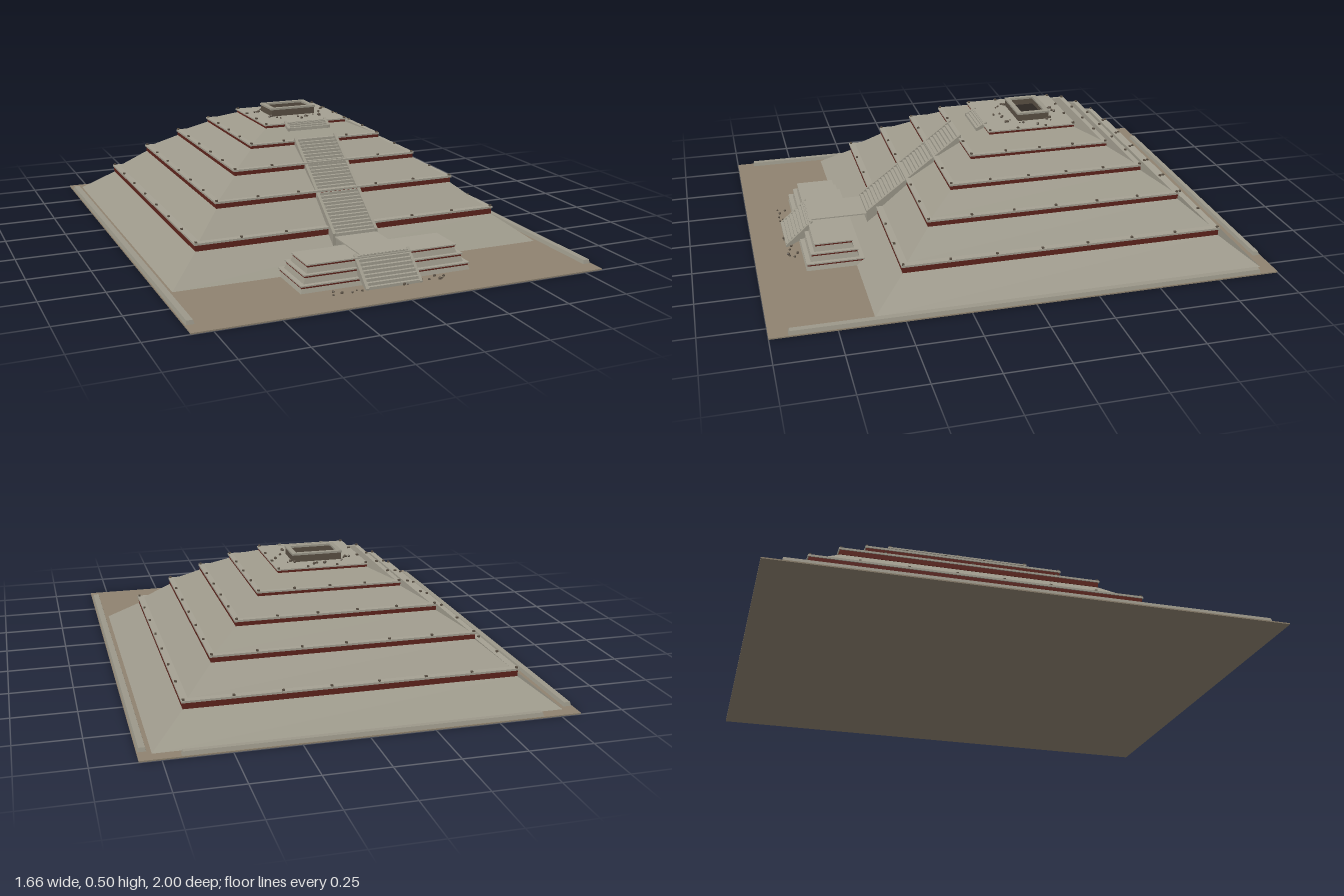
import * as THREE from 'three';

const mat = (color) => new THREE.MeshStandardMaterial({ color, flatShading: true });
const stone = mat(0x9c988a);
const pale = mat(0xa5a193);
const sand = mat(0x8f8370);
const red = mat(0x5e241c);
const dark = mat(0x2c2622);
const brown = mat(0x5a5044);

const CZ = -0.172; // centre of the pyramid along z

function add(parent, name, geometry, material) {
  const mesh = new THREE.Mesh(geometry, material);
  mesh.name = name;
  parent.add(mesh);
  return mesh;
}

// Box given by its lower and upper height
function slab(parent, name, w, d, y0, y1, x, z, material) {
  const mesh = add(parent, name, new THREE.BoxGeometry(w, y1 - y0, d), material);
  mesh.position.set(x, (y0 + y1) / 2, z);
  return mesh;
}

// Block with sloping sides; half sizes at the bottom and inset at the top
function frustum(parent, name, hx, hz, inset, y0, y1, x, z, material) {
  const mesh = slab(parent, name, hx * 2, hz * 2, y0, y1, x, z, material);
  const p = mesh.geometry.attributes.position;
  for (let i = 0; i < p.count; i++) {
    if (p.getY(i) < 0) continue;
    p.setX(i, p.getX(i) - Math.sign(p.getX(i)) * inset);
    p.setZ(i, p.getZ(i) - Math.sign(p.getZ(i)) * inset);
  }
  mesh.geometry.computeVertexNormals();
  return mesh;
}

// Extrudes a (z, y) outline across x
function acrossX(parent, name, points, width, x, material) {
  const shape = new THREE.Shape(points.map(([z, y]) => new THREE.Vector2(z, y)));
  const geometry = new THREE.ExtrudeGeometry(shape, { depth: width, bevelEnabled: false });
  geometry.translate(0, 0, -width / 2).rotateY(-Math.PI / 2);
  const mesh = add(parent, name, geometry, material);
  mesh.position.x = x;
  return mesh;
}

// Flight of steps rising towards -z, with a sloping rail on each side
function stairFlight(name, halfWidth, z0, y0, z1, y1, steps, depth, rail) {
  const group = new THREE.Group();
  group.name = name;
  const points = [[z0, y0]];
  for (let i = 0; i < steps; i++) {
    const y = y0 + ((y1 - y0) * (i + 1)) / steps;
    points.push([z0 + ((z1 - z0) * i) / steps, y], [z0 + ((z1 - z0) * (i + 1)) / steps, y]);
  }
  points.push([z1, y1 - depth], [z0, Math.max(y0 - depth, 0)]);
  acrossX(group, 'steps', points, halfWidth * 2, 0, pale);
  const side = [[z0, Math.max(y0 - depth, 0)], [z0, y0 + rail], [z1, y1 + rail], [z1, y1 - depth]];
  for (const s of [-1, 1]) acrossX(group, 'stairRail', side, 0.012, s * (halfWidth + 0.006), stone);
  return group;
}

export function createModel() {
  const model = new THREE.Group();
  model.name = 'steppedPyramid';

  slab(model, 'ground', 1.66, 2, 0, 0.005, 0, 0, sand);

  // Low boundary walls
  for (const s of [-1, 1]) frustum(model, 'sideWall', 0.016, 0.928, 0.004, 0.004, 0.02, s * 0.81, 0, stone);
  frustum(model, 'backWall', 0.68, 0.014, 0.004, 0.004, 0.02, 0, -0.982, stone);

  // Pyramid tiers: bottom half size, ledge half size, bottom, red band, ledge top
  const tiers = [
    [0.78, 0.652, 0.004, 0.103, 0.135],
    [0.625, 0.524, 0.135, 0.222, 0.25],
    [0.503, 0.405, 0.25, 0.313, 0.338],
    [0.383, 0.294, 0.338, 0.389, 0.408],
    [0.275, 0.188, 0.408, 0.445, 0.46],
  ];
  tiers.forEach(([low, ledge, y0, band, y1], i) => {
    const tier = new THREE.Group();
    tier.name = `tier${i + 1}`;
    model.add(tier);
    const lip = Math.min(0.008, (y1 - band) * 0.35);
    frustum(tier, 'slopingWall', low, low, low - ledge + 0.006, y0, band, 0, CZ, stone);
    slab(tier, 'redBand', ledge * 2 - 0.008, ledge * 2 - 0.008, band, y1 - lip, 0, CZ, red);
    slab(tier, 'ledge', ledge * 2, ledge * 2, y1 - lip, y1, 0, CZ, pale);
    // Small studs along the edge of the ledge
    const n = 7 - i;
    for (let k = 0; k < n; k++) {
      const t = (k / n) * 2 - 1;
      const r = ledge - 0.008;
      for (const [x, z] of [[t * r, -r], [r, t * r], [-t * r, r], [-r, -t * r]]) {
        if (z > 0 && Math.abs(x) < 0.11) continue;
        slab(tier, 'stud', 0.009, 0.009, y1, y1 + 0.006, x, CZ + z, brown);
      }
    }
  });

  // Stepped platform at the foot of the stairs
  const platform = new THREE.Group();
  platform.name = 'frontPlatform';
  model.add(platform);
  for (const [hx, hz, y0, y1] of [[0.354, 0.118, 0.004, 0.034], [0.334, 0.098, 0.034, 0.067], [0.315, 0.08, 0.067, 0.1]]) {
    frustum(platform, 'platformWall', hx, hz, 0.008, y0, y1 - 0.012, 0, 0.69, stone);
    slab(platform, 'platformBand', hx * 2 - 0.012, hz * 2 - 0.012, y1 - 0.012, y1 - 0.005, 0, 0.69, red);
    slab(platform, 'platformLedge', hx * 2 - 0.004, hz * 2 - 0.004, y1 - 0.005, y1, 0, 0.69, pale);
  }

  // Stairs and the landing between them
  model.add(stairFlight('lowerStairs', 0.105, 0.865, 0.005, 0.75, 0.105, 9, 0.05, 0.006));
  slab(model, 'landing', 0.18, 0.25, 0.101, 0.106, 0, 0.635, pale);
  model.add(stairFlight('mainStairs', 0.085, 0.52, 0.108, 0.112, 0.412, 30, 0.04, 0.01));
  model.add(stairFlight('topStairs', 0.085, 0.045, 0.438, 0, 0.462, 4, 0.03, 0.006));

  // Open shrine on the summit
  const shrine = new THREE.Group();
  shrine.name = 'shrine';
  shrine.position.z = -0.203;
  model.add(shrine);
  slab(shrine, 'shrineFloor', 0.19, 0.12, 0.46, 0.464, 0, 0, dark);
  for (const s of [-1, 1]) {
    slab(shrine, 'longWall', 0.2, 0.014, 0.46, 0.488, 0, s * 0.06, brown);
    slab(shrine, 'longCap', 0.208, 0.02, 0.488, 0.496, 0, s * 0.06, stone);
    slab(shrine, 'shortWall', 0.014, 0.106, 0.46, 0.488, s * 0.093, 0, brown);
    slab(shrine, 'shortCap', 0.02, 0.1, 0.488, 0.496, s * 0.094, 0, stone);
  }

  // Loose stones on the summit and before the lower stairs
  let seed = 7;
  const rand = () => (seed = (seed * 16807) % 2147483647) / 2147483647;
  const rubble = new THREE.Group();
  rubble.name = 'rubble';
  model.add(rubble);
  const pebble = (x, y, z) => {
    const r = 0.003 + rand() * 0.004;
    const mesh = add(rubble, 'pebble', new THREE.DodecahedronGeometry(r), brown);
    mesh.position.set(x, y + r * 0.6, z);
    mesh.rotation.y = rand() * 6;
  };
  for (let i = 0; i < 30; i++) {
    pebble((rand() - 0.5) * 0.5, 0.005, 0.82 + rand() * 0.05);
    const a = rand() * Math.PI * 2;
    pebble(Math.cos(a) * (0.12 + rand() * 0.04), 0.46, CZ - 0.02 + Math.sin(a) * (0.11 + rand() * 0.04));
  }

  return model;
}
